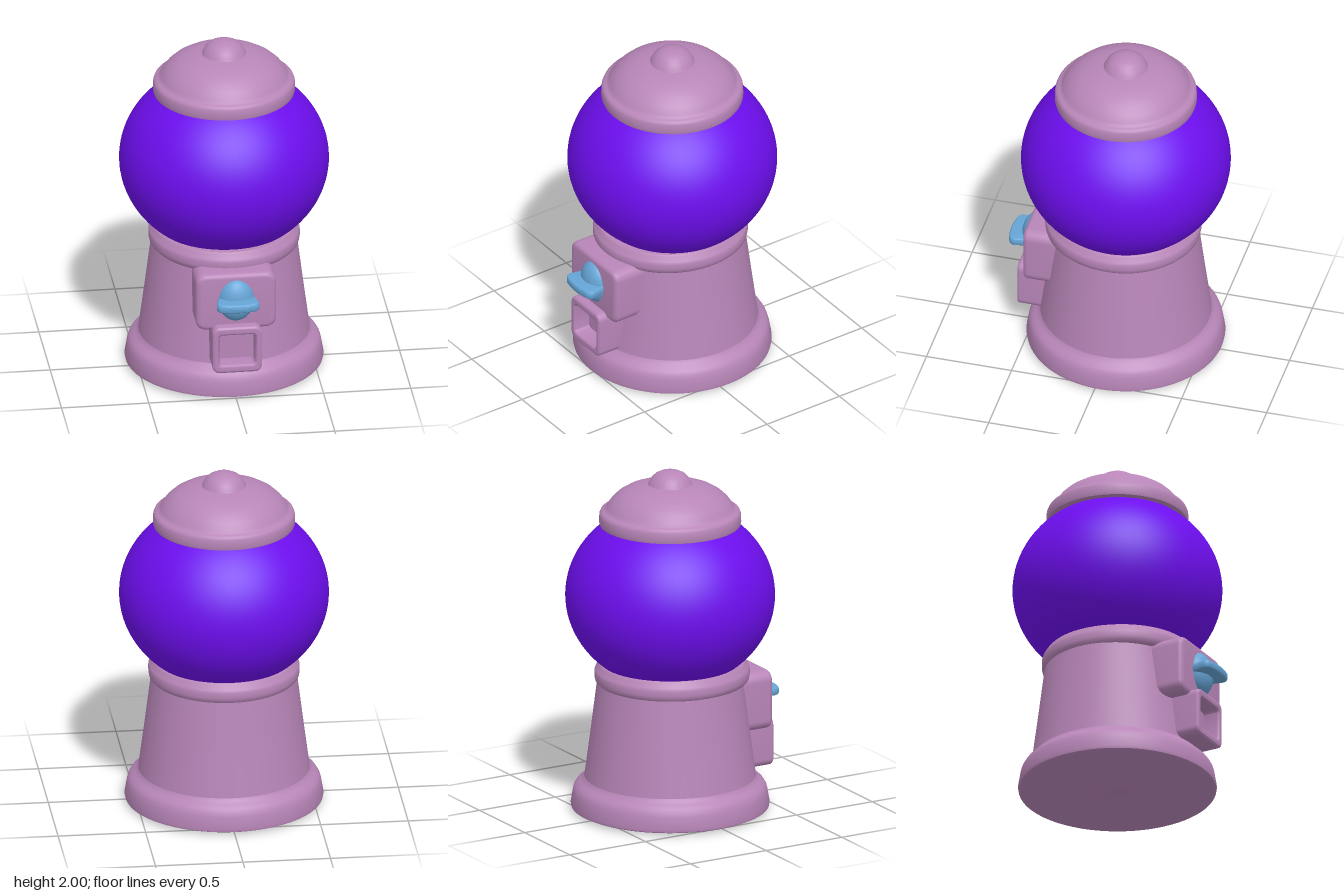
import * as THREE from 'three';
import { toCreasedNormals } from 'three/addons/utils/BufferGeometryUtils.js';

const AXIS_Z = -0.038;
const pink = new THREE.MeshStandardMaterial({ color: 0xb886b8 });
const purple = new THREE.MeshStandardMaterial({ color: 0x6d0eee });
const blue = new THREE.MeshStandardMaterial({ color: 0x66a5d6 });

function part(name, geometry, material, x = 0, y = 0, z = 0) {
  const mesh = new THREE.Mesh(geometry, material);
  mesh.name = name;
  mesh.position.set(x, y, z);
  return mesh;
}

// Surface of revolution from [radius, height] pairs, bottom to top
function turned(profile) {
  const pts = profile.map(([r, y]) => new THREE.Vector2(r, y));
  return toCreasedNormals(new THREE.LatheGeometry(pts, 80), 0.75);
}

// Rounded rectangle centred on the origin
function roundRect(Type, w, h, r) {
  const s = new Type();
  const x = w / 2 - r, y = h / 2 - r;
  s.absarc(x, y, r, 0, Math.PI / 2);
  s.absarc(-x, y, r, Math.PI / 2, Math.PI);
  s.absarc(-x, -y, r, Math.PI, Math.PI * 1.5);
  s.absarc(x, -y, r, Math.PI * 1.5, Math.PI * 2);
  s.closePath();
  return s;
}

// Bevelled slab whose full size includes the bevel, running from z = 0 to depth
function slab(w, h, depth, corner, bevel, hole) {
  const shape = roundRect(THREE.Shape, w - 2 * bevel, h - 2 * bevel, corner);
  if (hole) shape.holes.push(hole);
  const g = new THREE.ExtrudeGeometry(shape, {
    depth: depth - 2 * bevel, bevelThickness: bevel, bevelSize: bevel,
    bevelSegments: 5, curveSegments: 8,
  });
  g.translate(0, 0, bevel);
  return toCreasedNormals(g, 0.7);
}

export function createModel() {
  const model = new THREE.Group();
  model.name = 'gumballMachine';

  // Flared foot and tapered body
  model.add(part('foot', turned([
    [0, 0], [0.545, 0.012], [0.562, 0.02], [0.565, 0.035], [0.553, 0.105],
    [0.547, 0.128], [0.535, 0.148], [0.51, 0.168], [0.494, 0.182], [0.485, 0.2], [0.44, 0.2],
  ]), pink, 0, 0, AXIS_Z));
  model.add(part('body', turned([[0.489, 0.18], [0.452, 0.46], [0.412, 0.78]]), pink, 0, 0, AXIS_Z));

  // Collar below the globe, bulging slightly towards the front
  const collar = turned([
    [0.39, 0.745], [0.412, 0.75], [0.426, 0.765], [0.43, 0.785], [0.43, 0.815],
    [0.425, 0.832], [0.413, 0.843], [0.409, 0.858], [0.4, 0.867], [0.3, 0.867],
  ]);
  const p = collar.attributes.position;
  for (let i = 0; i < p.count; i++) if (p.getZ(i) > 0) p.setZ(i, p.getZ(i) * 1.07);
  model.add(part('collar', collar, pink, 0, 0, AXIS_Z));

  // Globe
  const globe = part('globe', new THREE.SphereGeometry(1, 80, 48), purple, 0, 1.265, AXIS_Z);
  globe.scale.set(0.596, 0.53, 0.596);
  model.add(globe);

  // Domed lid with rim and knob
  model.add(part('lid', turned([
    [0, 1.68], [0.385, 1.68], [0.4, 1.685], [0.404, 1.7], [0.402, 1.745], [0.396, 1.76],
    [0.382, 1.768], [0.369, 1.773], [0.36, 1.79], [0.335, 1.825], [0.3, 1.858], [0.255, 1.886],
    [0.2, 1.907], [0.15, 1.917], [0.126, 1.921], [0.12, 1.932], [0.108, 1.955],
    [0.085, 1.978], [0.055, 1.993], [0.025, 1.999], [0, 2],
  ]), pink, 0, 0, AXIS_Z));

  // Coin plate
  model.add(part('coinPlate', slab(0.46, 0.345, 0.29, 0.03, 0.028), pink, 0, 0.61, 0.22));

  // Turning knob: oval dome with a flat grip across it
  const handle = new THREE.Group();
  handle.name = 'handle';
  const dome = part('handleDome', new THREE.SphereGeometry(1, 40, 28), blue, 0, 0.62, 0.49);
  dome.scale.set(0.105, 0.13, 0.078);
  handle.add(dome);
  const outline = new THREE.Shape();
  outline.moveTo(-0.09, 0);
  outline.lineTo(0.09, 0);
  outline.lineTo(0.108, 0.085);
  outline.quadraticCurveTo(0.108, 0.105, 0.085, 0.11);
  outline.quadraticCurveTo(0, 0.13, -0.085, 0.11);
  outline.quadraticCurveTo(-0.108, 0.105, -0.108, 0.085);
  outline.closePath();
  const grip = new THREE.ExtrudeGeometry(outline, {
    depth: 0.022, bevelThickness: 0.014, bevelSize: 0.014, bevelSegments: 4, curveSegments: 10,
  });
  grip.rotateX(Math.PI / 2);
  handle.add(part('handleGrip', toCreasedNormals(grip, 0.7), blue, 0, 0.63, 0.501));
  model.add(handle);

  // Dispensing chute: open frame with a recessed back wall
  const chute = new THREE.Group();
  chute.name = 'chute';
  const opening = roundRect(THREE.Path, 0.235, 0.215, 0.035);
  chute.add(part('chuteFrame', slab(0.285, 0.285, 0.2, 0.03, 0.014, opening), pink, 0, 0.332, 0.365));
  chute.add(part('chuteBack', new THREE.BoxGeometry(0.25, 0.24, 0.08), pink, 0, 0.335, 0.425));
  model.add(chute);

  return model;
}
